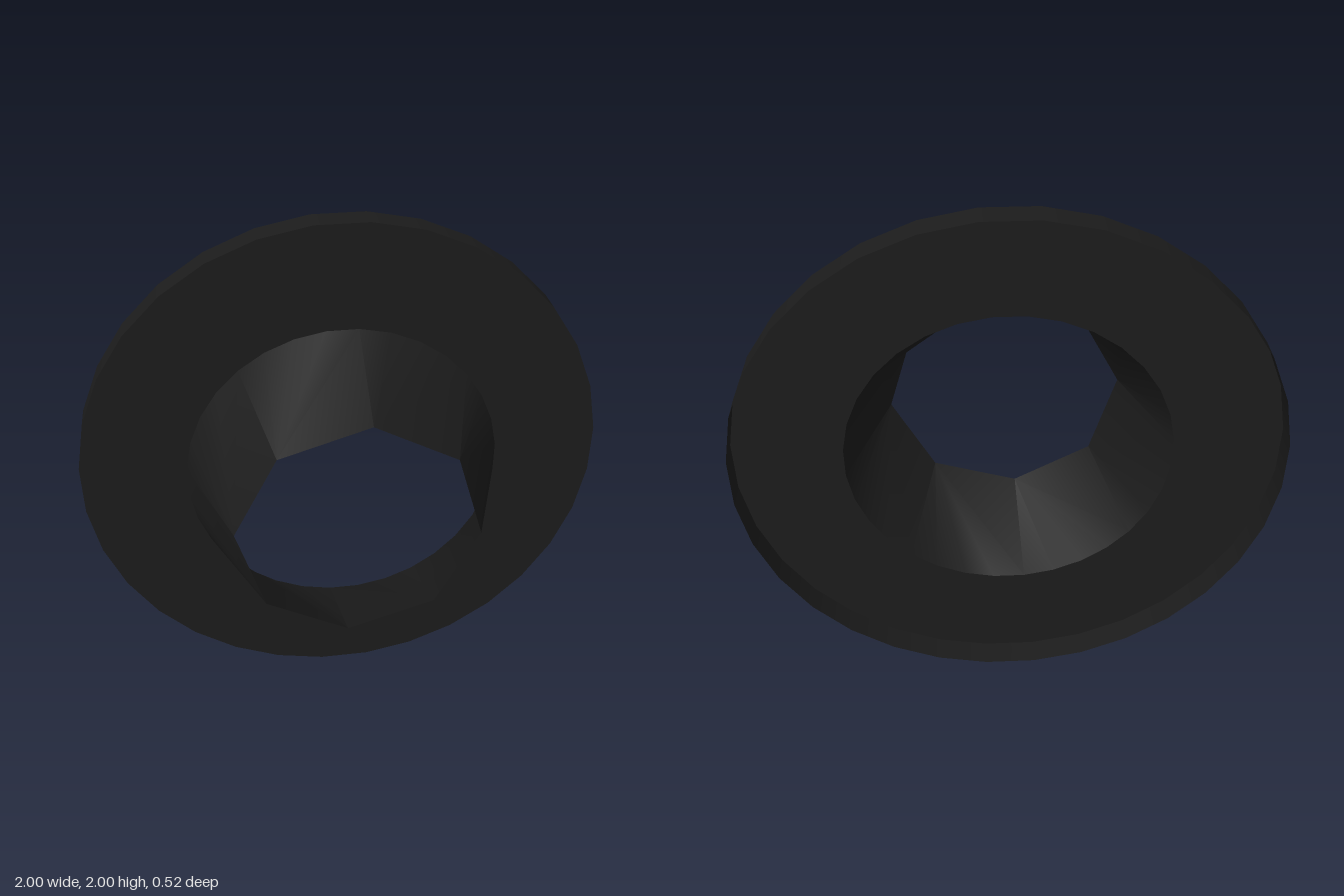
import * as THREE from 'three';
import { toCreasedNormals } from 'three/addons/utils/BufferGeometryUtils.js';

const SIDES = 32;          // sides of flange and bore
const MOUTH_SIDES = 8;     // sides of the front opening
const OFFSET = -Math.PI / SIDES;
const FLANGE_R = 1.0048, BORE_R = 0.605, MOUTH_R = 0.452;
const BACK_Z = -0.26, FLANGE_Z = -0.16, MOUTH_Z = 0.26;

// Regular polygon turned back by half a flange side
function polygon(radius, sides) {
  return Array.from({ length: sides }, (_, i) => {
    const a = OFFSET + (i / sides) * Math.PI * 2;
    return new THREE.Vector2(Math.cos(a) * radius, Math.sin(a) * radius);
  });
}

// Thin flat ring with a round bore
function plateGeometry() {
  const shape = new THREE.Shape(polygon(FLANGE_R, SIDES));
  shape.holes.push(new THREE.Path(polygon(BORE_R, SIDES).reverse()));
  return new THREE.ShapeGeometry(shape).translate(0, 0, FLANGE_Z);
}

// Thin band running back from the edge of the plate, open behind
function rimGeometry() {
  return new THREE.CylinderGeometry(FLANGE_R, FLANGE_R, FLANGE_Z - BACK_Z, SIDES, 1, true, OFFSET)
    .rotateX(Math.PI / 2)
    .translate(0, 0, (FLANGE_Z + BACK_Z) / 2);
}

// Thin funnel blending the round bore into the octagonal mouth
function funnelGeometry() {
  const positions = [], index = [];
  polygon(BORE_R, SIDES).forEach((p) => positions.push(p.x, p.y, FLANGE_Z));
  polygon(MOUTH_R, MOUTH_SIDES).forEach((p) => positions.push(p.x, p.y, MOUTH_Z));
  const step = SIDES / MOUTH_SIDES;
  for (let k = 0; k < MOUTH_SIDES; k++) {
    const here = SIDES + k, next = SIDES + ((k + 1) % MOUTH_SIDES);
    // one flat triangle per mouth side, then a fan down to the bore
    index.push(here, k * step, next);
    for (let j = k * step; j < (k + 1) * step; j++) {
      index.push(j, (j + 1) % SIDES, next);
    }
  }
  const geometry = new THREE.BufferGeometry();
  geometry.setAttribute('position', new THREE.Float32BufferAttribute(positions, 3));
  geometry.setIndex(index);
  return toCreasedNormals(geometry, 0.6);
}

export function createModel() {
  const group = new THREE.Group();
  group.name = 'flangedFunnel';
  const material = new THREE.MeshStandardMaterial({ color: 0x1c1c1c, side: THREE.DoubleSide });
  const parts = { flangePlate: plateGeometry(), flangeRim: rimGeometry(), funnel: funnelGeometry() };
  for (const [name, geometry] of Object.entries(parts)) {
    const mesh = new THREE.Mesh(geometry, material);
    mesh.name = name;
    group.add(mesh);
  }
  group.position.y = 1;
  return group;
}
